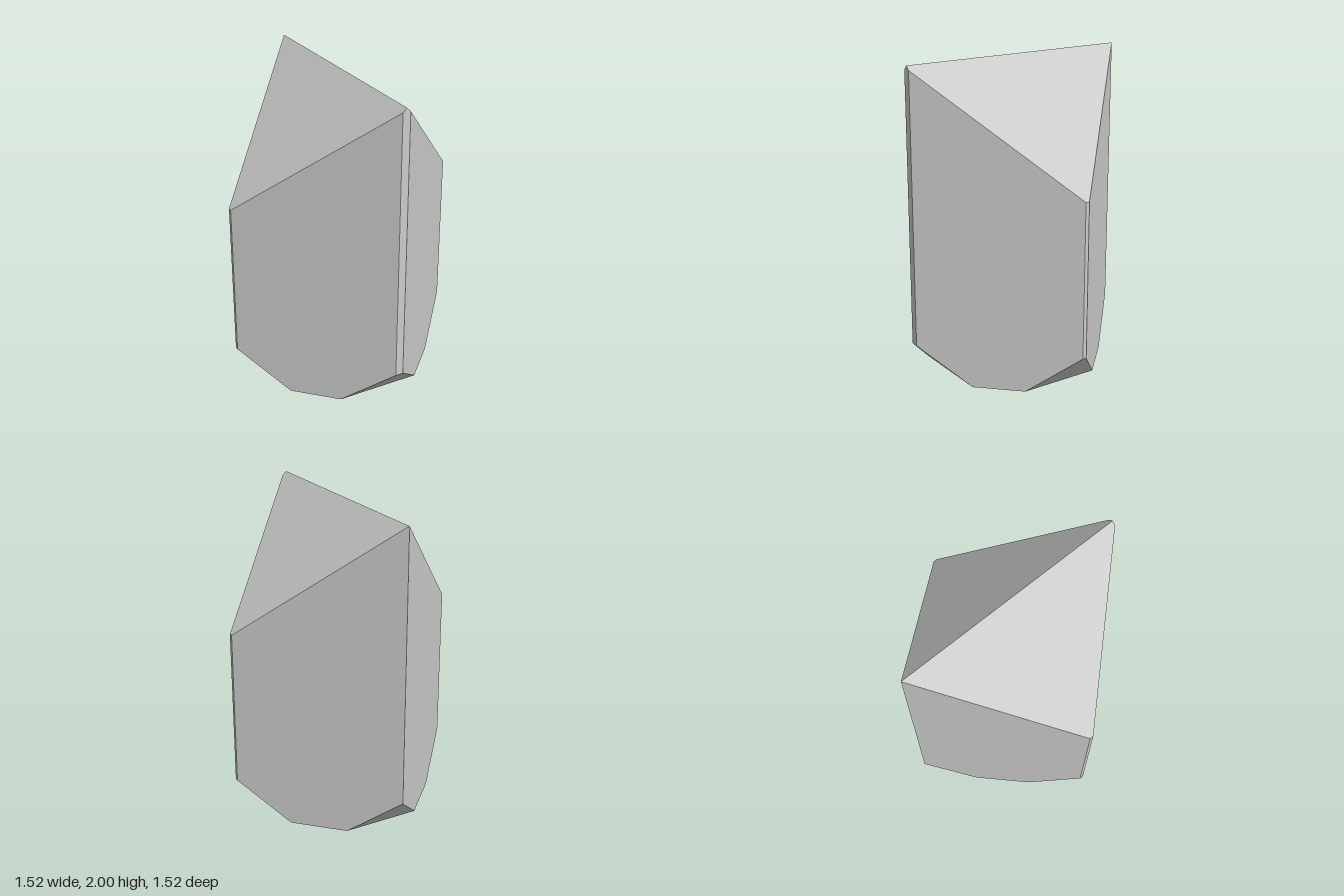
import * as THREE from 'three';
import { ConvexGeometry } from 'three/addons/geometries/ConvexGeometry.js';

const R = 0.76;      // half width of the square prism, corner to centre
const CUT = 0.025;   // small flat on the front and side corners
const TOP = 2;       // ridge height
const CHAMFER = 0.25; // height of the 45 degree cuts at the base

export function createModel() {
  const group = new THREE.Group();
  const points = [];
  const add = (x, y, z) => points.push(new THREE.Vector3(x, y, z));

  // ridge ends and the sharp back edge
  add(0, TOP, R);
  add(0, TOP, -R);
  add(0, CHAMFER, -R);

  for (const s of [-1, 1]) {
    // front flat, rising to the roof slope y = TOP - |x|
    add(s * CUT, TOP - CUT, R);
    add(s * CUT, CHAMFER, R);
    // narrow side flat
    for (const z of [0, CUT]) {
      add(s * R, TOP - R, z);
      add(s * R, CHAMFER, z);
    }
    // octagonal base left by the four corner cuts
    const inner = R - CHAMFER;
    add(s * (CHAMFER + CUT), 0, inner);
    add(s * inner, 0, CHAMFER + CUT);
    add(s * inner, 0, -CHAMFER);
    add(s * CHAMFER, 0, -inner);
  }

  const crystal = new THREE.Mesh(
    new ConvexGeometry(points),
    new THREE.MeshStandardMaterial({ color: 0xcccccc, flatShading: true })
  );
  crystal.name = 'facetedCrystal';
  group.add(crystal);
  return group;
}
